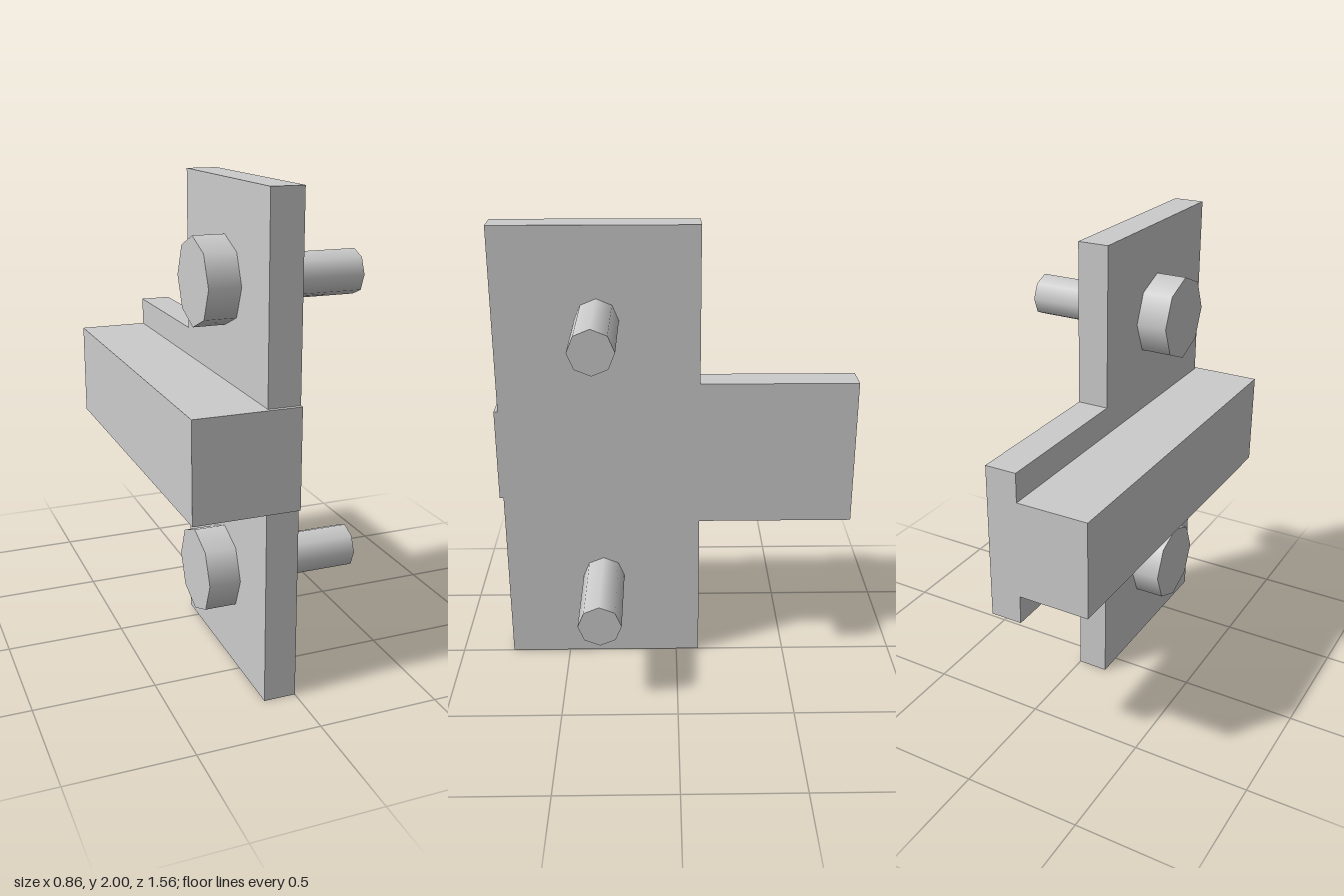
import * as THREE from 'three';

const material = new THREE.MeshStandardMaterial({ color: 0xcccccc });

function addMesh(parent, name, geometry) {
  const mesh = new THREE.Mesh(geometry, material);
  mesh.name = name;
  parent.add(mesh);
  return mesh;
}

// Eight-sided smooth cylinder lying along x, from x0 to x1
function rod(radius, x0, x1) {
  return new THREE.CylinderGeometry(radius, radius, x1 - x0, 8)
    .rotateZ(Math.PI / 2)
    .translate((x0 + x1) / 2, 0, 0);
}

export function createModel() {
  const model = new THREE.Group();
  model.name = 'boltedBracket';
  const back = -0.132;

  // T-shaped plate, outlined as (-z, y), with a thin lip where the bar passes its front edge
  const outline = [
    [-0.765, 0], [0.103, 0], [0.103, 0.676], [0.782, 0.676],
    [0.782, 1.326], [0.103, 1.326], [0.103, 2], [-0.765, 2],
    [-0.765, 1.205], [-0.782, 1.205], [-0.782, 0.797], [-0.765, 0.797],
  ].map(([u, v]) => new THREE.Vector2(u, v));
  const plate = new THREE.ExtrudeGeometry(new THREE.Shape(outline), { depth: -back, bevelEnabled: false });
  addMesh(model, 'plate', plate.rotateY(Math.PI / 2).translate(back, 0, 0));

  // Bar running along the back of the plate
  const barDepth = 0.432 + back;
  const bar = addMesh(model, 'bar', new THREE.BoxGeometry(barDepth, 0.408, 1.564));
  bar.position.set(back - barDepth / 2, 1.001, 0);

  // Two bolts through the plate
  for (const [name, y] of [['lowerBolt', 0.399], ['upperBolt', 1.606]]) {
    const bolt = new THREE.Group();
    bolt.name = name;
    addMesh(bolt, 'head', rod(0.178, -0.264, back));
    addMesh(bolt, 'shank', rod(0.093, -0.01, 0.43));
    bolt.position.set(0, y, 0.33);
    model.add(bolt);
  }

  return model;
}
